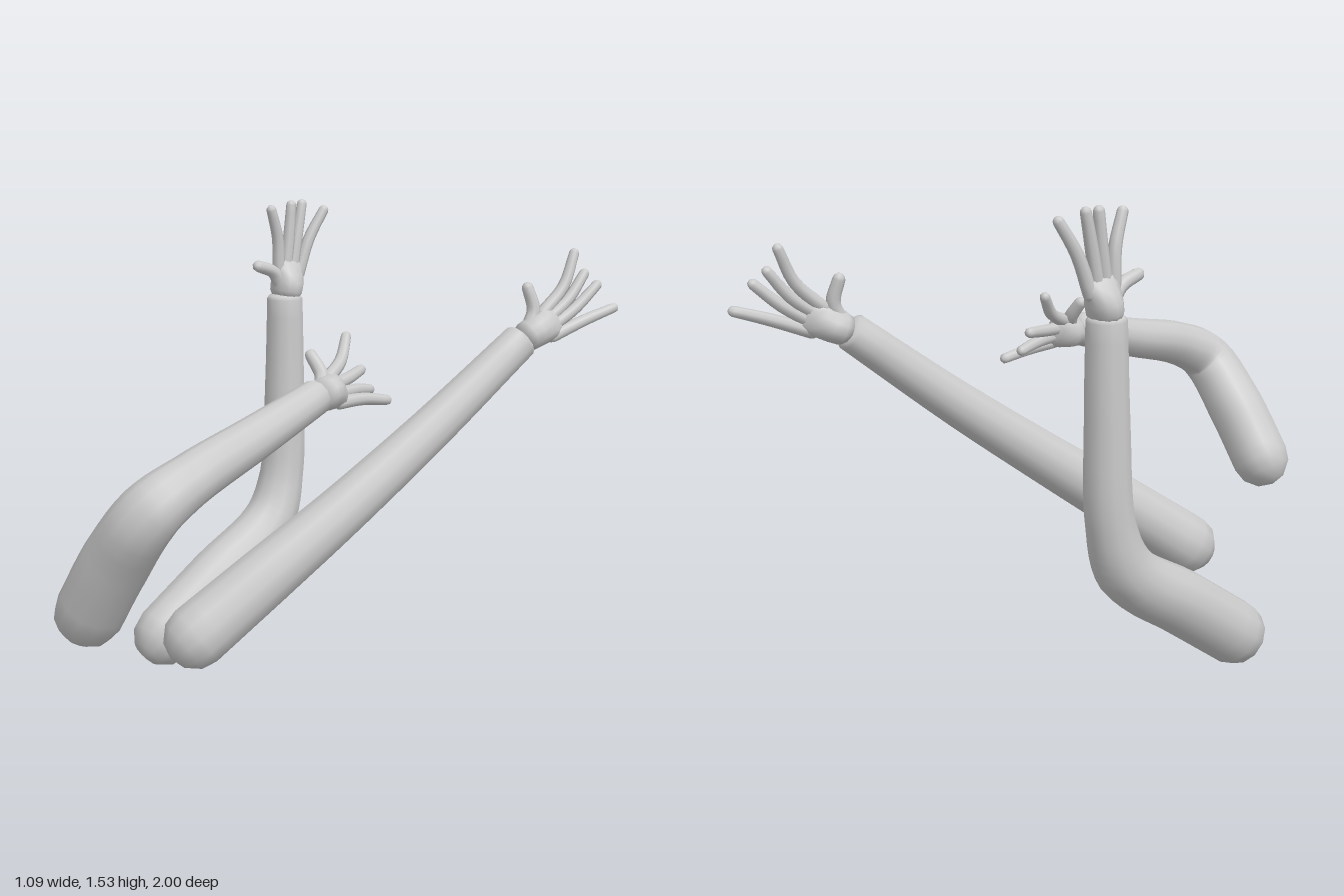
import * as THREE from 'three';

const V = (a) => new THREE.Vector3(a[0], a[1], a[2]);

// Skin a list of rings { c, u, v, ru, rv } and close both ends with a pole
function skin(rings, sides, startPole, endPole) {
  const pos = [], index = [];
  for (const { c, u, v, ru, rv } of rings) {
    for (let j = 0; j < sides; j++) {
      const a = (j / sides) * Math.PI * 2;
      const p = c.clone().addScaledVector(u, Math.cos(a) * ru).addScaledVector(v, Math.sin(a) * rv);
      pos.push(p.x, p.y, p.z);
    }
  }
  const last = (rings.length - 1) * sides;
  const s = rings.length * sides, e = s + 1;
  pos.push(...startPole.toArray(), ...endPole.toArray());
  for (let j = 0; j < sides; j++) {
    const k = (j + 1) % sides;
    index.push(s, k, j, e, last + j, last + k);
    for (let i = 0; i < rings.length - 1; i++) {
      const a = i * sides + j, b = i * sides + k;
      index.push(a, b, a + sides, b, b + sides, a + sides);
    }
  }
  const g = new THREE.BufferGeometry();
  g.setAttribute('position', new THREE.Float32BufferAttribute(pos, 3));
  g.setIndex(index);
  g.computeVertexNormals();
  return g;
}

// Round tapering limb through [x, y, z, radius] stations, with domed ends
function limb(stations, sides, steps, startDome = 1, endDome = 1) {
  const curve = new THREE.CatmullRomCurve3(stations.map(V));
  const n = (stations.length - 1) * steps;
  const rings = [];
  let t0 = curve.getTangent(0);
  const u = new THREE.Vector3(1, 0, 0);
  if (Math.abs(t0.x) > 0.8) u.set(0, 1, 0);
  const dome = (ring, dir, r, depth, ang) => ({
    ...ring, c: ring.c.clone().addScaledVector(dir, r * depth * Math.sin(ang)),
    ru: r * Math.cos(ang), rv: r * Math.cos(ang),
  });
  for (let i = 0; i <= n; i++) {
    const t = i / n, f = Math.min(Math.floor(i / steps), stations.length - 2);
    const r = THREE.MathUtils.lerp(stations[f][3], stations[f + 1][3], i / steps - f);
    const tan = curve.getTangent(t);
    u.addScaledVector(tan, -u.dot(tan)).normalize();
    const v = new THREE.Vector3().crossVectors(tan, u);
    rings.push({ c: curve.getPoint(t), u: u.clone(), v, ru: r, rv: r });
  }
  const first = rings[0], end = rings[n], back = t0.clone().negate(), t1 = curve.getTangent(1);
  const r0 = first.ru, r1 = end.ru;
  const angles = [0.5, 1.05];
  const head = angles.map((a) => dome(first, back, r0, startDome, a)).reverse();
  const tail = angles.map((a) => dome(end, t1, r1, endDome, a));
  return skin([...head, ...rings, ...tail], sides,
    first.c.clone().addScaledVector(back, r0 * startDome),
    end.c.clone().addScaledVector(t1, r1 * endDome));
}

// Palm, four fingers and a thumb; tips run index to little finger
function buildHand(add, { wrist, knuckle, tips, thumb }) {
  const w = V(wrist), k = V(knuckle);
  const d = k.clone().sub(w).normalize();
  const s = V(tips[3]).sub(V(tips[0]));
  s.addScaledVector(d, -s.dot(d)).normalize();
  const nrm = new THREE.Vector3().crossVectors(d, s);
  const len = w.distanceTo(k);

  // palm sections: [distance along, half thickness, half width]
  const sections = [[-0.15, 0.05, 0.042], [0.05, 0.064, 0.052], [0.35, 0.064, 0.054],
    [0.65, 0.05, 0.055], [0.9, 0.032, 0.056], [1.08, 0.02, 0.045]];
  const rings = sections.map(([a, ru, rv]) => ({
    c: w.clone().addScaledVector(d, a * len), u: nrm, v: s, ru, rv }));
  // nrm x s points against d, so flip the section to keep faces outward
  if (new THREE.Vector3().crossVectors(nrm, s).dot(d) < 0) rings.forEach((r) => (r.ru = -r.ru));
  add('palm', skin(rings, 12, w.clone().addScaledVector(d, -0.25 * len),
    w.clone().addScaledVector(d, 1.15 * len)));

  const digit = (name, base, tipArr, r) => {
    const tip = V(tipArr);
    const straight = base.clone().lerp(tip, 0.5);
    const mid = base.clone().addScaledVector(d, base.distanceTo(tip) * 0.5).lerp(straight, 0.65);
    const end = tip.clone().addScaledVector(tip.clone().sub(mid).normalize(), -r * 0.8);
    add(name, limb([[...base.toArray(), r * 1.1], [...mid.toArray(), r], [...end.toArray(), r * 0.85]], 8, 4));
  };
  ['indexFinger', 'middleFinger', 'ringFinger', 'littleFinger'].forEach((name, i) =>
    digit(name, k.clone().addScaledVector(s, (i - 1.5) * 0.028).addScaledVector(d, -0.03), tips[i], 0.02));
  digit('thumb', w.clone().addScaledVector(d, 0.015).addScaledVector(s, -0.02), thumb, 0.023);
}

const ARMS = [
  { // raised arm on the right side
    name: 'raisedArm',
    path: [[-0.435, 0.11, 0.2, 0.106], [-0.41, 0.265, -0.03, 0.104], [-0.39, 0.42, -0.265, 0.094],
      [-0.39, 0.58, -0.335, 0.078], [-0.393, 0.9, -0.355, 0.07], [-0.395, 1.2, -0.36, 0.063]],
    hand: {
      wrist: [-0.395, 1.22, -0.365], knuckle: [-0.395, 1.32, -0.385], thumb: [-0.41, 1.33, -0.225],
      tips: [[-0.4, 1.525, -0.295], [-0.4, 1.535, -0.4], [-0.395, 1.535, -0.45], [-0.355, 1.51, -0.525]],
    },
  },
  { // long arm reaching backwards
    name: 'reachingArm',
    path: [[-0.035, 0.265, 0.435, 0.105], [0.06, 0.43, 0.22, 0.097], [0.155, 0.6, -0.01, 0.086],
      [0.27, 0.84, -0.33, 0.074], [0.385, 1.105, -0.66, 0.062]],
    hand: {
      wrist: [0.395, 1.12, -0.685], knuckle: [0.435, 1.165, -0.785], thumb: [0.37, 1.295, -0.71],
      tips: [[0.435, 1.395, -0.895], [0.465, 1.325, -0.92], [0.5, 1.285, -0.95], [0.54, 1.2, -1.0]],
    },
  },
  { // bent arm in front
    name: 'bentArm',
    path: [[0, 0.47, 0.895, 0.103], [0.115, 0.645, 0.89, 0.102], [0.24, 0.81, 0.87, 0.092],
      [0.262, 0.88, 0.74, 0.078], [0.24, 0.95, 0.45, 0.067], [0.222, 1.025, 0.16, 0.055]],
    hand: {
      wrist: [0.22, 1.025, 0.135], knuckle: [0.205, 1.03, 0.035], thumb: [0.12, 1.145, 0.085],
      tips: [[0.13, 1.18, -0.085], [0.15, 1.06, -0.14], [0.18, 0.995, -0.15], [0.24, 0.965, -0.17]],
    },
  },
];

export function createModel() {
  const model = new THREE.Group();
  model.name = 'arms';
  const material = new THREE.MeshStandardMaterial({ color: 0xcccccc });
  for (const arm of ARMS) {
    const group = new THREE.Group();
    group.name = arm.name;
    const add = (name, geometry) => {
      const mesh = new THREE.Mesh(geometry, material);
      mesh.name = name;
      group.add(mesh);
    };
    add('sleeve', limb(arm.path, 12, 5, 1, 0.4));
    buildHand(add, arm.hand);
    model.add(group);
  }
  return model;
}
